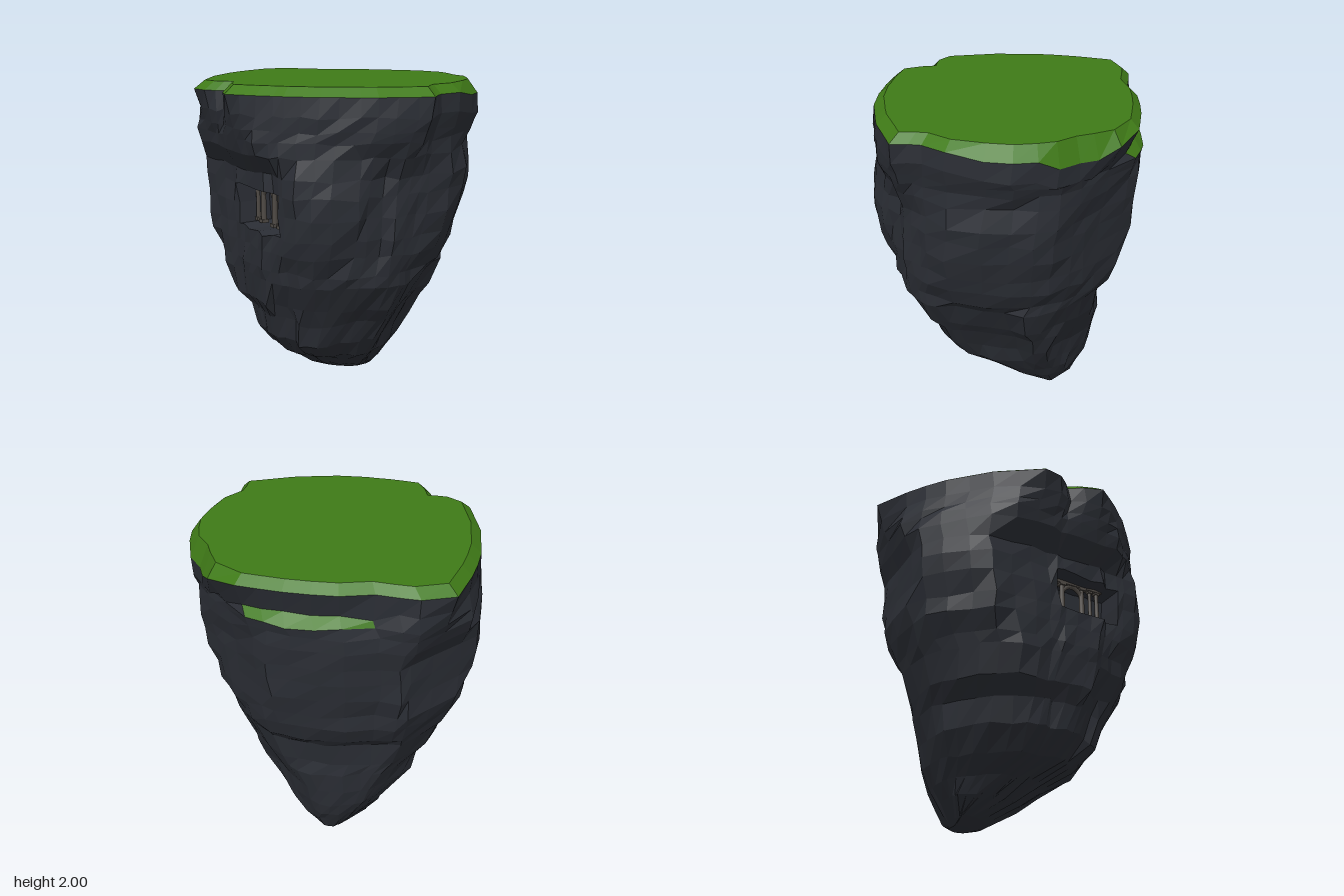
import * as THREE from 'three';

// Plan outline (x, z), running from the front-left notch round by the front
const outline = [
  [-.74, .42], [-.65, .49], [-.58, .5], [-.52, .5], [-.5, .6], [-.45, .71], [-.36, .73], [-.26, .75], [-.16, .76],
  [-.1, .77], [0, .77], [.1, .77], [.2, .75], [.31, .73], [.4, .71], [.5, .67], [.6, .63], [.68, .6], [.68, .5],
  [.69, .43], [.78, .3], [.83, .1], [.85, -.05], [.83, -.18], [.8, -.29], [.72, -.4], [.68, -.5], [.62, -.62],
  [.45, -.73], [.33, -.75], [.2, -.77], [.05, -.78], [-.09, -.78], [-.27, -.74], [-.4, -.76], [-.5, -.77],
  [-.68, -.71], [-.75, -.48], [-.78, -.34], [-.8, -.2], [-.8, -.05], [-.8, .1], [-.77, .26],
];

// Height, then the extents: left x, right x, back z, front z
const levels = [
  [0, -.12, .07, -.4, -.27], [.03, -.25, .17, -.45, -.18], [.13, -.3, .24, -.49, .02], [.22, -.34, .29, -.53, .17],
  [.32, -.43, .36, -.56, .36], [.45, -.53, .44, -.59, .47], [.6, -.56, .52, -.6, .52], [.69, -.66, .57, -.6, .6],
  [.86, -.71, .66, -.62, .68], [.93, -.74, .67, -.68, .7], [1.05, -.79, .73, -.73, .75], [1.15, -.8, .76, -.74, .78],
  [1.28, -.84, .8, -.77, .8], [1.4, -.86, .82, -.78, .81], [1.5, -.86, .83, -.79, .8], [1.62, -.85, .81, -.8, .78],
  [1.7, -.84, .81, -.8, .77], [1.76, -.83, .83, -.8, .77], [1.84, -.82, .85, -.78, .77], [1.95, -.82, .85, -.78, .76],
  [2, -.76, .79, -.73, .7],
];

// Diagonal limits by height: front-left (-x+z), front-right (x+z), back-left (-x-z), back-right (x-z)
const chamfers = [
  [0, -.1, -.22, .45, .45], [.15, .32, .32, .58, .58], [.32, .58, .66, .73, .64], [.45, .78, .78, .79, .67],
  [.7, .85, .95, .93, .84], [.93, .9, 1.0, 1.06, .98], [1.15, .91, 1.04, 1.19, 1.02], [1.5, .92, 1.06, 1.18, 1.06],
  [1.62, 1.03, 1.12, 1.24, 1.08], [1.84, 1.12, 1.26, 1.37, 1.14], [2, 1.3, 1.4, 1.45, 1.4],
];
const corners = [[-1, 1], [1, 1], [-1, -1], [1, -1]];

// Buttresses, recesses and ledges: columns from-to, heights from-to, shift x, y, z
const features = [
  [7, 9, .65, 1.55, 0, 0, -.05],      // channel beside the central buttress
  [9, 12, .4, .65, 0, -.03, .02],     // foot of the central buttress
  [13, 15, 1.0, 1.65, 0, 0, -.05],    // tall front-right recess
  [13, 13, 1.0, 1.65, .03, 0, 0],
  [20, 22, .4, .9, -.05, 0, 0],       // undercut below the right ledge
  [23, 25, .25, .9, .02, 0, 0],
  [22, 22, 1.15, 1.65, -.03, 0, 0],   // right-hand groove
  [21, 27, 1.82, 1.96, 0, -.03, 0],   // turf hanging lower on the right
  [24, 26, 1.82, 1.96, 0, -.05, 0],
  [28, 32, 1.82, 1.85, 0, -.03, .04], // step above the back ledge
  [33, 33, 1.82, 1.85, 0, -.05, 0],
];

const N = outline.length, TOP = levels.length - 1;
const CAVE = { from: 2, to: 8, low: 11, high: 13 };

// Small repeatable unevenness
function wobble(a, b) {
  const s = Math.sin(a * 127.1 + b * 311.7) * 43758.5453;
  return (s - Math.floor(s) - .5) * .02;
}

function chamferAt(y) {
  const k = Math.max(1, chamfers.findIndex(row => row[0] >= y));
  const a = chamfers[k - 1], b = chamfers[k], t = (y - a[0]) / (b[0] - a[0]);
  return [1, 2, 3, 4].map(c => THREE.MathUtils.lerp(a[c], b[c], t));
}

// Pulls a point inwards until it meets the diagonal plane sx * x + sz * z = limit
function pullTo(p, [sx, sz], limit) {
  const excess = (sx * p.x + sz * p.z - limit) / 2;
  if (excess > 0) {
    p.x -= sx * excess;
    p.z -= sz * excess;
  }
  return p;
}

function gridPoint(i, k) {
  const [y, x0, x1, z0, z1] = levels[k];
  let u = (outline[i][0] - .025) / .825, v = (outline[i][1] + .005) / .775;
  const t = THREE.MathUtils.clamp(1.2 - y, 0, .6), r = Math.hypot(u, v);
  u += (u / r - u) * t; // rounder towards the base
  v += (v / r - v) * t;
  const p = new THREE.Vector3((x0 + x1) / 2 + u * (x1 - x0) / 2, y, (z0 + z1) / 2 + v * (z1 - z0) / 2);
  const limits = chamferAt(y);
  corners.forEach((corner, c) => pullTo(p, corner, limits[c]));
  for (const [a, b, lo, hi, dx, dy, dz] of features) {
    if (i >= a && i <= b && y >= lo && y <= hi) p.add(new THREE.Vector3(dx, dy, dz));
  }
  if (k > 1 && k < TOP - 1) p.add(new THREE.Vector3(wobble(i, k), wobble(i + 50, k), wobble(i, k + 50)));
  return p;
}

function facetMesh(name, tris, color) {
  const geo = new THREE.BufferGeometry().setFromPoints(tris);
  geo.computeVertexNormals();
  const mat = new THREE.MeshStandardMaterial({ color, flatShading: true, side: THREE.DoubleSide });
  const mesh = new THREE.Mesh(geo, mat);
  mesh.name = name;
  return mesh;
}

const quad = (out, a, b, c, d) => out.push(a, b, c, a, c, d);

function fan(out, loop, up) {
  const mid = loop.reduce((s, p) => s.add(p), new THREE.Vector3()).divideScalar(loop.length);
  loop.forEach((p, i) => {
    const q = loop[(i + 1) % loop.length];
    if (up) out.push(mid, p, q); else out.push(mid, q, p);
  });
}

// Row of pillars with an arched doorway, facing front-left
function makeColonnade() {
  const g = new THREE.Group();
  g.name = 'caveColonnade';
  const mat = new THREE.MeshStandardMaterial({ color: 0x4f4a45 });
  const add = (name, geo, x, y) => {
    const m = new THREE.Mesh(geo, mat);
    m.name = name;
    m.position.set(x, y, 0);
    g.add(m);
  };
  for (const [x, r] of [[-.2, .016], [-.13, .014], [-.06, .018], [.08, .018], [.14, .012], [.19, .014]]) {
    add('pillar', new THREE.CylinderGeometry(r * .85, r, .24, 8), x, .01);
    add('pillarBase', new THREE.BoxGeometry(r * 2.4, .02, r * 2.4), x, -.1);
    add('pillarCap', new THREE.BoxGeometry(r * 2.4, .02, r * 2.4), x, .11);
  }
  add('doorArch', new THREE.TorusGeometry(.07, .014, 6, 10, Math.PI), .01, .04);
  add('lintel', new THREE.BoxGeometry(.44, .025, .04), 0, .125);
  g.position.set(-.31, 1.275, .44);
  g.rotation.y = -Math.PI / 4;
  return g;
}

export function createModel() {
  const group = new THREE.Group();
  const grid = levels.map((_, k) => outline.map((_, i) => gridPoint(i, k)));
  const rock = [], turf = [], ledge = [], cave = [];

  // Walls, with the cave mouth left open
  for (let k = 0; k < TOP; k++) {
    for (let i = 0; i < N; i++) {
      if (i >= CAVE.from && i < CAVE.to && k >= CAVE.low && k < CAVE.high) continue;
      const j = (i + 1) % N;
      const out = k === TOP - 1 ? turf : (k === 17 && i >= 28 && i < 33) ? ledge : rock;
      quad(out, grid[k][i], grid[k][j], grid[k + 1][j], grid[k + 1][i]);
    }
  }
  fan(turf, grid[TOP], true);
  fan(rock, grid[0], false);

  // Cave tunnel: the rim of the opening pushed in to a diagonal back wall
  const rim = [];
  for (let i = CAVE.from; i < CAVE.to; i++) rim.push(grid[CAVE.low][i]);
  for (let k = CAVE.low; k < CAVE.high; k++) rim.push(grid[k][CAVE.to]);
  for (let i = CAVE.to; i > CAVE.from; i--) rim.push(grid[CAVE.high][i]);
  for (let k = CAVE.high; k > CAVE.low; k--) rim.push(grid[k][CAVE.from]);
  const inner = rim.map(p => pullTo(p.clone(), corners[0], .62));
  rim.forEach((p, i) => {
    const j = (i + 1) % rim.length;
    quad(cave, p, inner[i], inner[j], rim[j]);
  });
  fan(cave, inner, true);

  group.add(
    facetMesh('rock', rock, 0x2b2e35),
    facetMesh('caveWalls', cave, 0x2b2e35),
    facetMesh('grassTop', turf, 0x3f7a17),
    facetMesh('grassLedge', ledge, 0x3f7a17),
    makeColonnade(),
  );
  return group;
}
